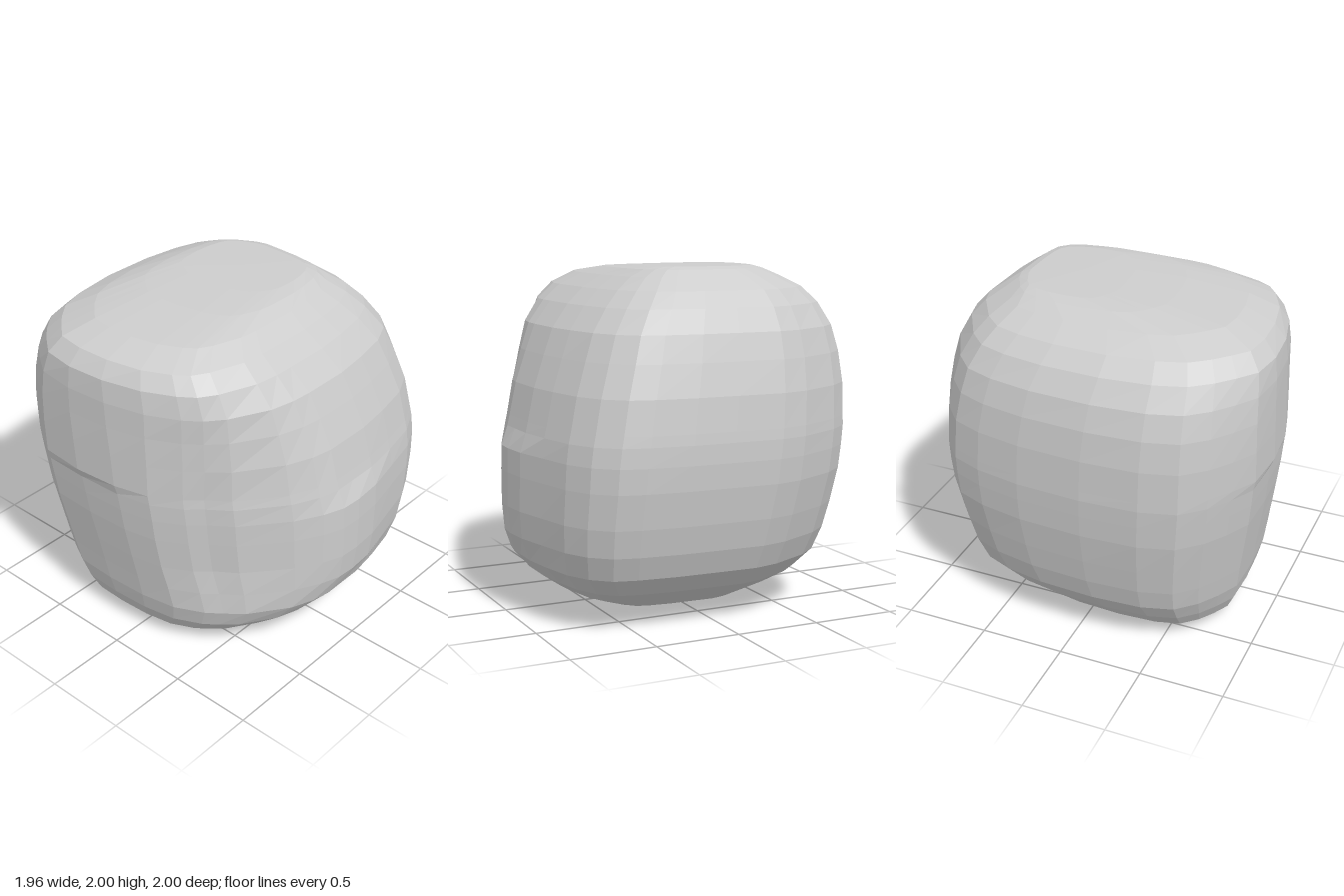
import * as THREE from 'three';

// Plan outline (x, z), roughly within -1..1: shared back and right side
const BACK = [
  [-0.25, -1], [0.05, -0.99], [0.3, -0.98], [0.55, -0.95], [0.7, -0.91], [0.82, -0.8], [0.9, -0.64],
  [0.95, -0.4], [0.98, -0.18], [0.98, 0.0],
];
const RIGHT = [
  [-0.22, 1], [-0.5, 0.99], [-0.65, 0.91], [-0.78, 0.82], [-0.9, 0.69], [-0.96, 0.48], [-0.98, 0.14],
  [-0.96, -0.25], [-0.91, -0.52], [-0.84, -0.7], [-0.7, -0.82], [-0.42, -0.96],
];
// Front left corner: cut away around the middle, squarer towards top and bottom
const CUT = [[0.98, 0.13], [0.94, 0.26], [0.85, 0.42], [0.62, 0.68], [0.48, 0.77], [0.4, 0.85], [0.24, 0.95], [0.05, 0.99]];
const SQUARE = [[0.98, 0.13], [0.98, 0.26], [0.96, 0.42], [0.86, 0.66], [0.78, 0.77], [0.66, 0.84], [0.42, 0.93], [0.1, 0.98]];

// Cross-sections: y, xMin, xMax, zMin, zMax, squareness of front left corner, push of front right corner
const LEVELS = [
  [0, -0.38, 0.28, -0.28, 0.55, 0.4, 0],
  [0.03, -0.52, 0.46, -0.4, 0.67, 0.5, 0],
  [0.1, -0.66, 0.65, -0.54, 0.8, 0.5, 0],
  [0.2, -0.75, 0.79, -0.73, 0.845, 0.5, 0],
  [0.32, -0.835, 0.9, -0.855, 0.875, 0.4, 0],
  [0.46, -0.88, 0.935, -0.915, 0.895, 0.25, 0],
  [0.62, -0.915, 0.95, -0.955, 0.92, 0.12, 0],
  [0.82, -0.955, 0.95, -0.99, 0.95, 0.13, 0],
  [0.96, -0.97, 0.945, -1, 0.965, 0.15, 0],
  [1.07, -0.98, 0.93, -1, 0.975, 0.18, 0],
  [1.13, -0.98, 0.915, -0.995, 0.975, 0.2, 0],
  [1.32, -0.98, 0.87, -0.975, 0.975, 0.35, 0],
  [1.5, -0.965, 0.8, -0.93, 0.975, 0.55, -0.01],
  [1.65, -0.93, 0.735, -0.885, 0.975, 0.75, -0.025],
  [1.78, -0.86, 0.625, -0.81, 0.965, 0.95, -0.045],
  [1.87, -0.77, 0.52, -0.73, 0.92, 1, -0.06],
  [1.94, -0.62, 0.41, -0.63, 0.74, 1, -0.05],
  [1.98, -0.5, 0.33, -0.57, 0.36, 1, -0.02],
  [1.995, -0.42, 0.25, -0.52, 0.05, 0.8, 0],
];

const bell = (v, centre, width) => Math.exp(-(((v - centre) / width) ** 2));

// Place one outline point on one level, with the corner push and the two overhanging swellings
function place([ox, oz], [y, x0, x1, z0, z1, , corner]) {
  let x = (x0 + x1) / 2 + (ox / 0.98) * (x1 - x0) / 2;
  let z = (z0 + z1) / 2 + oz * (z1 - z0) / 2;
  const push = corner * Math.max(0, (oz - ox) / Math.hypot(ox, oz) / Math.SQRT2) ** 8;
  x -= push * Math.SQRT1_2;
  z += push * Math.SQRT1_2;
  // Bulge low on the left side, ending in a lip
  if (ox > 0.8 && y > 0.4 && y < 1) x += 0.033 * bell(z, -0.02, 0.25);
  // Brow high on the front, ending in a lip
  if (oz > 0.8 && y > 1.1 && y < 1.85) z += 0.025 * bell(x, -0.22, 0.35);
  return [x, y, z];
}

// All points of one cross-section
function section(level) {
  const corner = CUT.map(([x, z], i) => [
    THREE.MathUtils.lerp(x, SQUARE[i][0], level[5]),
    THREE.MathUtils.lerp(z, SQUARE[i][1], level[5]),
  ]);
  return [...BACK, ...corner, ...RIGHT].flatMap((p) => place(p, level));
}

// Loft the outline through the levels and close both ends
function bodyGeometry() {
  const n = BACK.length + CUT.length + RIGHT.length;
  const last = LEVELS.length - 1;
  const pos = LEVELS.flatMap(section);
  const index = [];
  for (let j = 0; j < last; j++) {
    for (let i = 0; i < n; i++) {
      const k = (i + 1) % n;
      const a = j * n + i, b = j * n + k;
      index.push(a, a + n, b, b, a + n, b + n);
    }
  }
  const bottom = pos.length / 3;
  pos.push(-0.05, 0, 0.13, -0.08, 2, -0.24);
  for (let i = 0; i < n; i++) {
    const k = (i + 1) % n;
    index.push(bottom, i, k, bottom + 1, last * n + k, last * n + i);
  }
  const g = new THREE.BufferGeometry();
  g.setAttribute('position', new THREE.Float32BufferAttribute(pos, 3));
  g.setIndex(index);
  g.computeVertexNormals();
  return g;
}

export function createModel() {
  const group = new THREE.Group();
  group.name = 'boulder';
  const stone = new THREE.MeshStandardMaterial({ color: 0xcccccc, flatShading: true });
  stone.name = 'grey stone';

  const body = new THREE.Mesh(bodyGeometry(), stone);
  body.name = 'boulderBody';
  group.add(body);
  return group;
}
